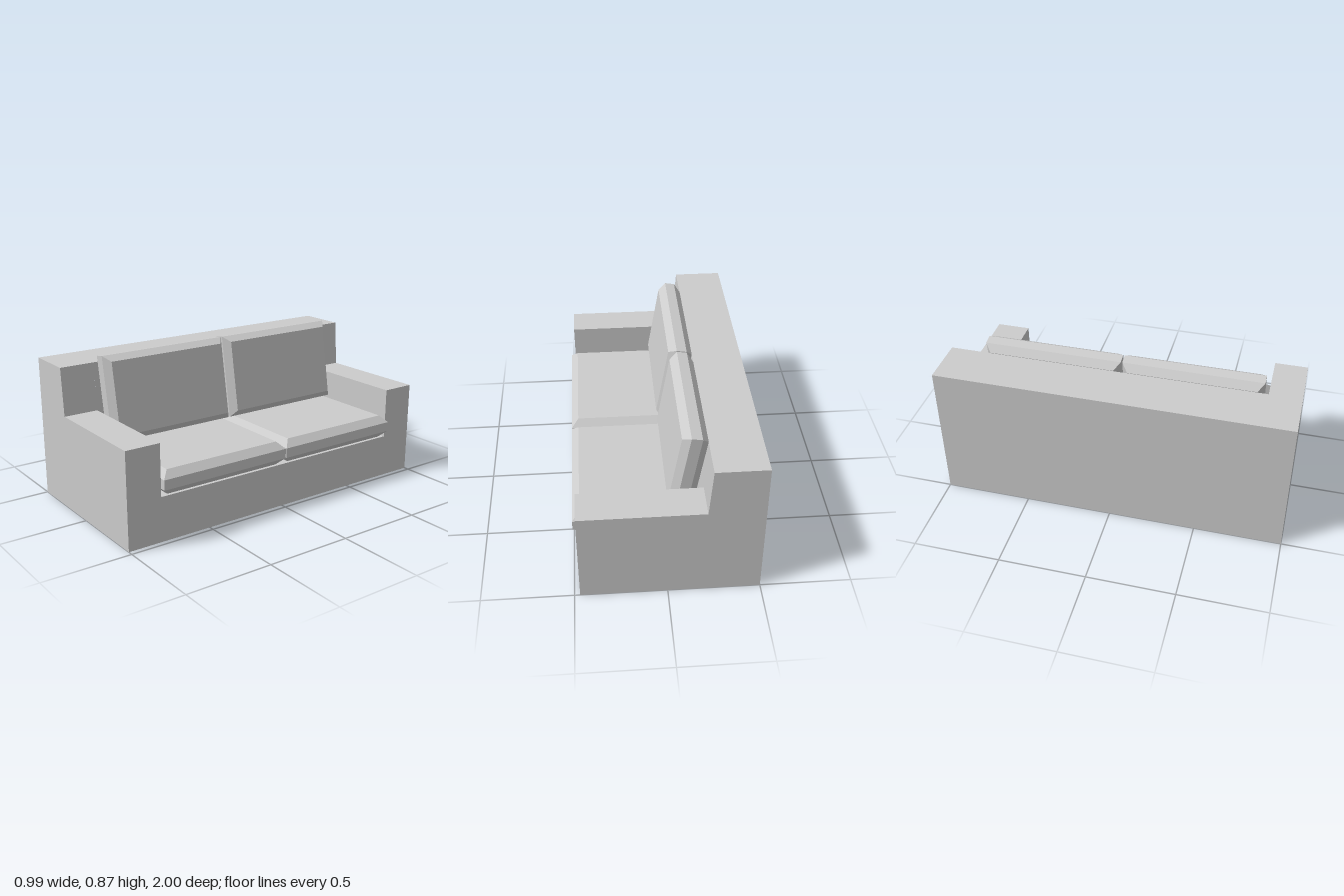
import * as THREE from 'three';
import { mergeGeometries } from 'three/addons/utils/BufferGeometryUtils.js';

const material = new THREE.MeshStandardMaterial({ color: 0xcccccc, flatShading: true });

// Flat polygon at a given z, facing +z or -z
function panel(points, z, facing) {
  const shape = new THREE.Shape(points.map(([x, y]) => new THREE.Vector2(x * facing, y)));
  const g = new THREE.ShapeGeometry(shape);
  if (facing < 0) g.rotateY(Math.PI);
  return g.translate(0, 0, z);
}

// Closed counter-clockwise side profile swept along z, without end caps
function sweep(points, z0, z1) {
  const pos = [];
  points.forEach(([ax, ay], i) => {
    const [bx, by] = points[(i + 1) % points.length];
    pos.push(ax, ay, z1, ax, ay, z0, bx, by, z0);
    pos.push(ax, ay, z1, bx, by, z0, bx, by, z1);
  });
  const g = new THREE.BufferGeometry();
  g.setAttribute('position', new THREE.Float32BufferAttribute(pos, 3));
  g.computeVertexNormals();
  return g;
}

// Slab with its wide faces bevelled in from the rim; depth on x, thickness on y, width on z
function cushionGeometry(depth, width, thickness, bevelSize) {
  const bevel = 0.04;
  const a = depth / 2, b = width / 2;
  const shape = new THREE.Shape([[-a, -b], [a, -b], [a, b], [-a, b]].map((p) => new THREE.Vector2(...p)));
  const core = thickness - 2 * bevel;
  const g = new THREE.ExtrudeGeometry(shape, {
    depth: core, bevelEnabled: true, bevelSegments: 1,
    bevelThickness: bevel, bevelSize, bevelOffset: -bevelSize,
  });
  return g.translate(0, 0, -core / 2).rotateX(-Math.PI / 2);
}

function addMesh(group, name, geometry) {
  const mesh = new THREE.Mesh(geometry, material);
  mesh.name = name;
  group.add(mesh);
  return mesh;
}

export function createModel() {
  const sofa = new THREE.Group();
  sofa.name = 'sofa';

  // Frame: arm profile at both ends, lower seat deck in between, leaning backrest
  const deckY = 0.253, armY = 0.547, topY = 0.82, front = 0.47, back = -0.5;
  const armZ = 0.8, endZ = 1;
  const ends = [[back, 0], [front, 0], [front, armY], [-0.2, armY], [-0.22, topY], [back, topY]];
  const middle = [[back, 0], [front, 0], [front, deckY], [-0.178, deckY], [-0.22, topY], [back, topY]];
  const armInside = [[-0.178, deckY], [front, deckY], [front, armY], [-0.2, armY]];
  const parts = [sweep(middle, -armZ, armZ)];
  for (const side of [-1, 1]) {
    parts.push(sweep(ends, Math.min(side * armZ, side * endZ), Math.max(side * armZ, side * endZ)));
    for (const p of [panel(ends, side * endZ, side), panel(armInside, side * armZ, -side)]) {
      p.deleteAttribute('uv');
      parts.push(p.toNonIndexed());
    }
  }
  addMesh(sofa, 'frame', mergeGeometries(parts));

  // Two seat cushions and two leaning back cushions
  const seat = cushionGeometry(0.675, 0.795, 0.136, 0.04);
  const rest = cushionGeometry(0.486, 0.792, 0.138, 0.035);
  const lean = THREE.MathUtils.degToRad(9.5);
  for (const [label, z] of [['left', 0.397], ['right', -0.404]]) {
    addMesh(sofa, `${label} seat cushion`, seat).position.set(0.157, 0.323, z);
    const backCushion = addMesh(sofa, `${label} back cushion`, rest);
    backCushion.position.set(-0.118, 0.629, z);
    backCushion.rotation.z = lean - Math.PI / 2;
  }
  return sofa;
}
